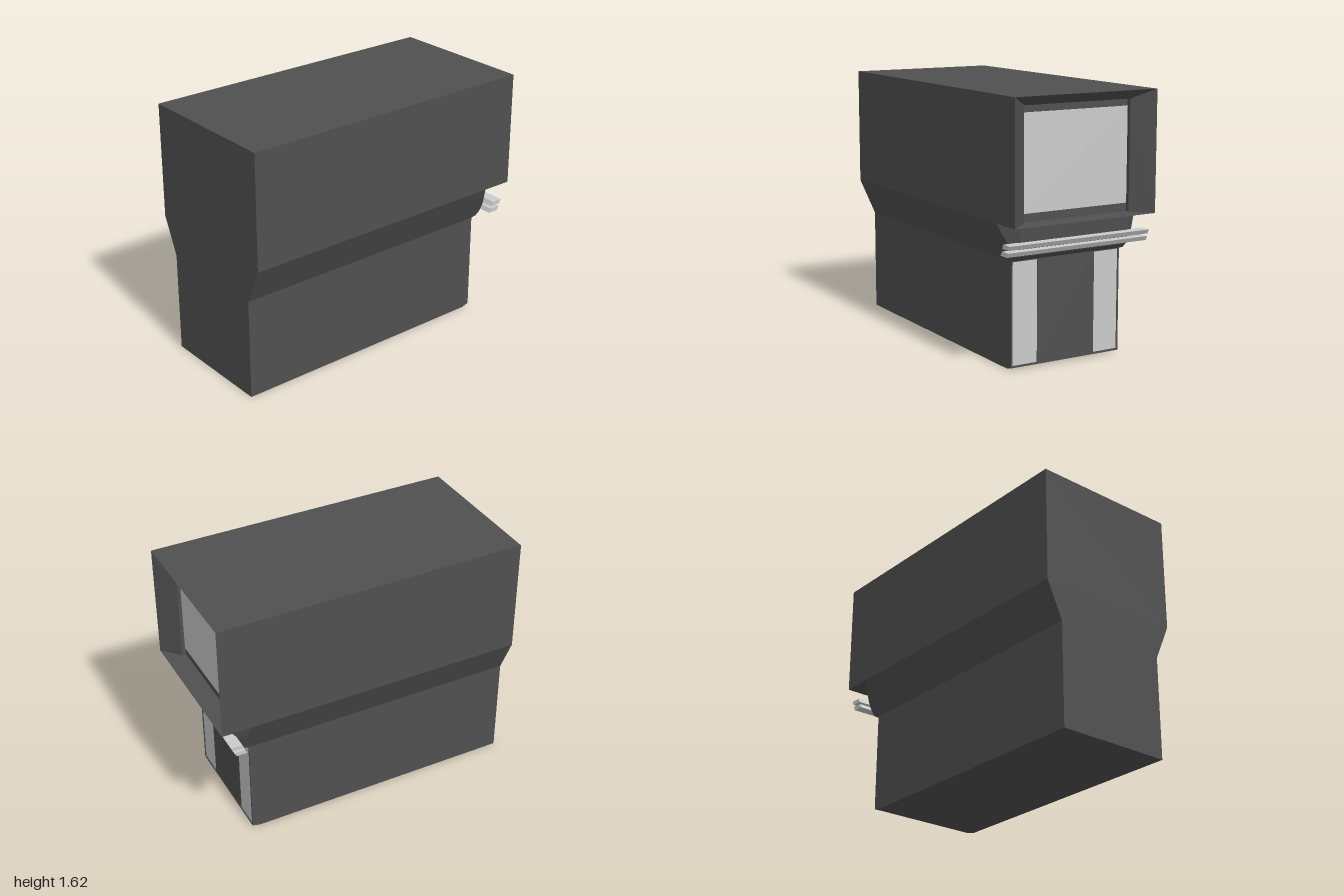
import * as THREE from 'three';

const dark = new THREE.MeshStandardMaterial({ color: 0x505050, flatShading: true });
const grey = new THREE.MeshStandardMaterial({ color: 0xcccccc, flatShading: true });

// Skin a series of matching corner loops with flat faces and cap both ends
function loft(loops) {
  const pos = [];
  const tri = (a, b, c) => pos.push(...a, ...b, ...c);
  const n = loops[0].length;
  for (let k = 0; k < loops.length - 1; k++) {
    const a = loops[k], b = loops[k + 1];
    for (let i = 0; i < n; i++) {
      const j = (i + 1) % n;
      tri(a[i], a[j], b[j]);
      tri(a[i], b[j], b[i]);
    }
  }
  const first = loops[0], last = loops[loops.length - 1];
  for (let i = 1; i < n - 1; i++) {
    tri(first[0], first[i + 1], first[i]);
    tri(last[0], last[i], last[i + 1]);
  }
  const g = new THREE.BufferGeometry();
  g.setAttribute('position', new THREE.Float32BufferAttribute(pos, 3));
  g.computeVertexNormals();
  return g;
}

export function createModel() {
  const model = new THREE.Group();
  model.name = 'building';

  const add = (name, geometry, material) => {
    const mesh = new THREE.Mesh(geometry, material);
    mesh.name = name;
    model.add(mesh);
  };
  const box = (name, material, x0, x1, y0, y1, z0, z1) => {
    const g = new THREE.BoxGeometry(x1 - x0, y1 - y0, z1 - z0);
    g.translate((x0 + x1) / 2, (y0 + y1) / 2, (z0 + z1) / 2);
    add(name, g, material);
  };

  // Upper storey, its street end opening inward to a recessed window wall
  const rect = (x, y0, y1, z) => [[x, y1, -z], [x, y1, z], [x, y0, z], [x, y0, -z]];
  add('upperStorey', loft([
    rect(-1, 0.885, 1.62, 0.485),
    rect(1, 0.885, 1.62, 0.485),
    rect(0.9, 0.89, 1.56, 0.365),
    rect(0.873, 0.89, 1.56, 0.365),
  ]), dark);
  box('upperWindow', grey, 0.865, 0.878, 0.94, 1.517, -0.363, 0.363);

  // Flared neck: sides lean out, street end bulges and is chamfered
  const neckLevels = [[0.65, 0.79], [0.66, 0.825], [0.685, 0.85], [0.72, 0.868], [0.77, 0.882], [0.885, 0.89]];
  add('neck', loft(neckLevels.map(([y, x]) => {
    const t = (y - 0.65) / 0.235;
    const z = 0.38 + 0.105 * t, c = x - 0.09 * t;
    return [[-1, y, z], [c, y, z], [x, y, 0.38], [x, y, -0.38], [c, y, -z], [-1, y, -z]];
  })), dark);

  // Ground storey with a bevelled lower edge
  const plan = (y, x) => [[-1, y, 0.38], [x, y, 0.38], [x, y, -0.38], [-1, y, -0.38]];
  add('groundStorey', loft([plan(0, 0.74), plan(0.012, 0.782), plan(0.65, 0.782)]), dark);

  // Shopfront: slim frame, two side windows and a middle door
  box('door', dark, 0.77, 0.788, 0.012, 0.65, -0.2, 0.2);
  box('frameBottom', dark, 0.77, 0.79, 0.012, 0.024, -0.38, 0.38);
  box('frameTop', dark, 0.77, 0.79, 0.645, 0.655, -0.38, 0.38);
  for (const s of [-1, 1]) {
    const [a, b] = s > 0 ? [0.2, 0.37] : [-0.37, -0.2];
    box('sideWindow', grey, 0.77, 0.785, 0.024, 0.645, a, b);
    const [c, d] = s > 0 ? [0.37, 0.38] : [-0.38, -0.37];
    box('framePost', dark, 0.77, 0.79, 0.012, 0.655, c, d);
  }

  // Two slanted slats across the neck
  for (const [x, y] of [[0.862, 0.75], [0.845, 0.707]]) {
    const slat = new THREE.Shape([
      new THREE.Vector2(x, y), new THREE.Vector2(x + 0.068, y),
      new THREE.Vector2(x + 0.084, y + 0.027), new THREE.Vector2(x + 0.014, y + 0.027),
    ]);
    const g = new THREE.ExtrudeGeometry(slat, { depth: 0.97, bevelEnabled: false });
    g.translate(0, 0, -0.485);
    add('slat', g, grey);
  }

  return model;
}
